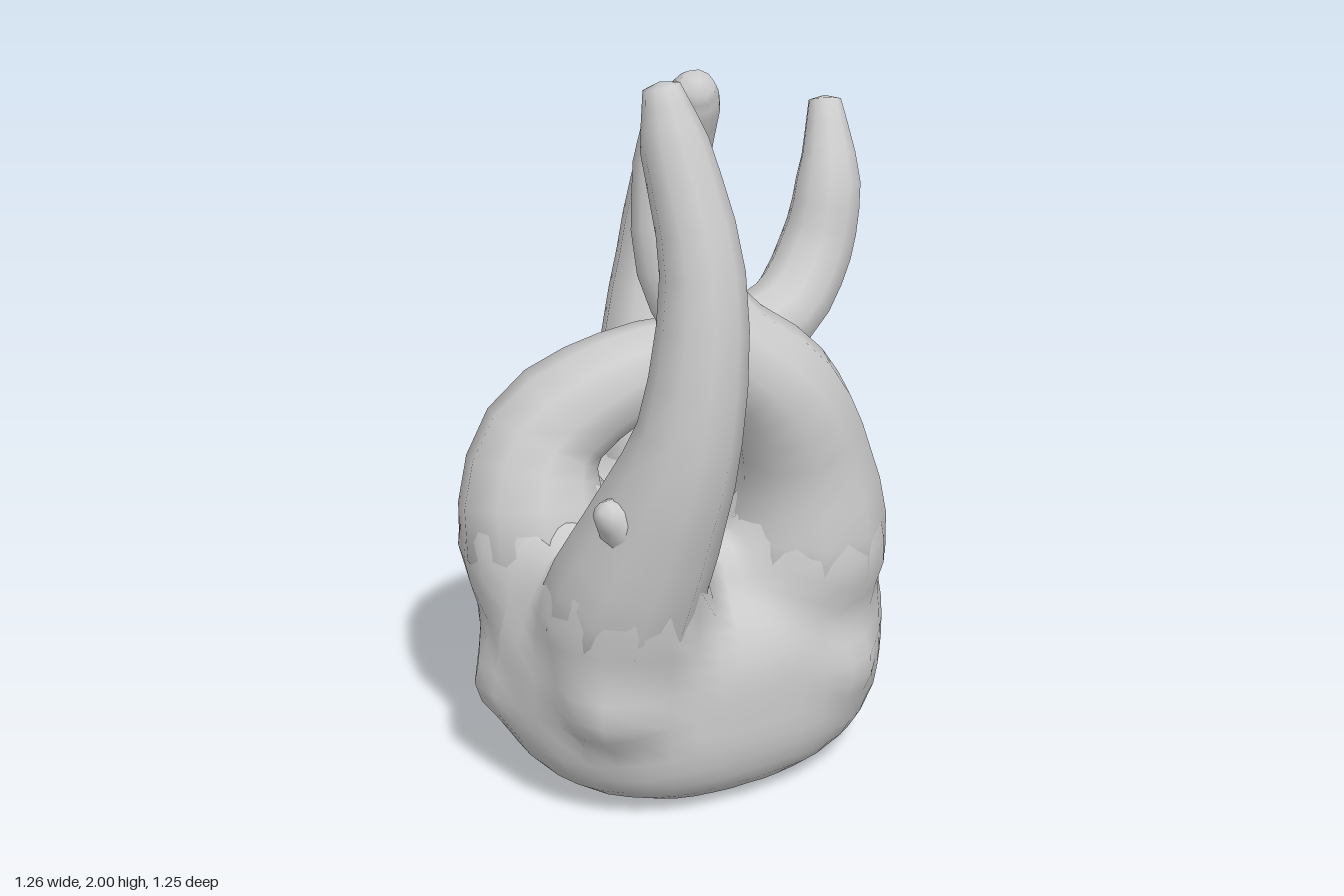
import * as THREE from 'three';

const SIDES = 10;
const material = new THREE.MeshStandardMaterial({ color: 0xcccccc });

// Limb stations: x, y, z, radius
const LIMBS = {
  tallLimb: [
    [-0.25, 0.35, 0.15, 0.12], [-0.35, 0.6, 0.29, 0.21], [-0.32, 0.85, 0.4, 0.175],
    [-0.27, 1.15, 0.5, 0.13], [-0.23, 1.55, 0.49, 0.103], [-0.255, 1.85, 0.4, 0.083],
    [-0.27, 1.985, 0.365, 0.045]],
  frontLimb: [
    [0.12, 0.35, 0.14, 0.12], [0.21, 0.65, 0.25, 0.23], [0.19, 0.9, 0.28, 0.18],
    [0.1, 1.12, 0.31, 0.15], [-0.04, 1.27, 0.27, 0.125], [-0.12, 1.45, 0.16, 0.1],
    [-0.1, 1.7, 0.08, 0.083], [-0.12, 1.83, 0.09, 0.04]],
  backLimb: [
    [0.1, 0.4, -0.05, 0.12], [0.14, 0.68, -0.3, 0.25], [0.18, 0.95, -0.42, 0.195],
    [0.21, 1.2, -0.49, 0.133], [0.24, 1.5, -0.47, 0.1], [0.24, 1.67, -0.38, 0.08],
    [0.23, 1.73, -0.33, 0.045]],
  crossingLimb: [
    [-0.25, 0.4, 0.0, 0.12], [-0.4, 0.66, -0.09, 0.21], [-0.35, 0.9, -0.14, 0.165],
    [-0.14, 1.05, -0.09, 0.13], [0.1, 1.09, -0.06, 0.105], [0.36, 1.12, -0.11, 0.108],
    [0.5, 1.27, -0.16, 0.103], [0.55, 1.45, -0.18, 0.09], [0.585, 1.65, -0.26, 0.045]],
};

// Lumps melted into the bulb: x, y, z, radius
const LUMPS = [
  [-0.53, 0.3, 0.0, 0.09], [0.24, 0.33, 0.38, 0.1], [-0.42, 0.38, 0.36, 0.12],
  [-0.44, 0.62, -0.29, 0.09], [-0.16, 0.55, -0.3, 0.13], [0.04, 0.67, -0.49, 0.09],
  [0.28, 0.36, -0.25, 0.12], [0.4, 0.5, 0.05, 0.13], [-0.08, 0.63, 0.25, 0.11],
  [0.2, 0.75, -0.2, 0.13],
];

// Points along a limb with their direction and radius.
function sampleLimb(stations) {
  const curve = new THREE.CatmullRomCurve3(stations.map(s => new THREE.Vector3(s[0], s[1], s[2])));
  const spans = stations.length - 1, steps = spans * 3;
  return Array.from({ length: steps + 1 }, (_, i) => {
    const t = i / steps, f = t * spans, s = Math.min(Math.floor(f), spans - 1);
    const r = THREE.MathUtils.lerp(stations[s][3], stations[s + 1][3], f - s);
    return { c: curve.getPoint(t), tan: curve.getTangent(t), r };
  });
}

// Tube of varying radius, closed at both ends.
function limb(name, samples) {
  const pos = [], idx = [], u = new THREE.Vector3(1, 0, 0), v = new THREE.Vector3();
  samples.forEach(({ c, tan, r }) => {
    // carry the ring's axes along the path without twisting
    u.addScaledVector(tan, -u.dot(tan)).normalize();
    v.crossVectors(tan, u);
    for (let j = 0; j < SIDES; j++) {
      const a = j / SIDES * Math.PI * 2;
      const p = c.clone().addScaledVector(u, r * Math.cos(a)).addScaledVector(v, r * Math.sin(a));
      pos.push(p.x, p.y, p.z);
    }
  });
  const end = samples[samples.length - 1];
  const tip = end.c.clone().addScaledVector(end.tan, 0.012);
  pos.push(...samples[0].c.toArray(), ...tip.toArray());
  const a = samples.length * SIDES, last = a - SIDES;
  for (let j = 0; j < SIDES; j++) {
    const k = (j + 1) % SIDES;
    for (let p = 0; p < last; p += SIDES) {
      idx.push(p + j, p + k, p + k + SIDES, p + j, p + k + SIDES, p + j + SIDES);
    }
    idx.push(a, k, j, a + 1, last + j, last + k);
  }
  const geo = new THREE.BufferGeometry();
  geo.setAttribute('position', new THREE.Float32BufferAttribute(pos, 3));
  geo.setIndex(idx);
  geo.computeVertexNormals();
  const mesh = new THREE.Mesh(geo, material);
  mesh.name = name;
  return mesh;
}

function smoothMin(a, b, k) {
  const h = Math.max(k - Math.abs(a - b), 0) / k;
  return Math.min(a, b) - h * h * k / 4;
}

// Bulb: a sphere whose vertices move outward until they leave the blend of
// a boxy ellipsoid, the lumps and the limb roots, so the roots flow into it.
function bulb(limbs) {
  const centre = new THREE.Vector3(-0.04, 0.36, 0.06);
  const field = p => {
    const x = Math.abs(p.x - centre.x) / 0.55, z = Math.abs(p.z - centre.z) / 0.43;
    const dy = p.y - centre.y + 0.12 * (p.z - 0.12); // underside rises to the back
    const y = Math.abs(dy) / (dy > 0 ? 0.31 : 0.36);
    const plan = Math.pow(x ** 2.3 + z ** 2.3, 1 / 2.3);
    let d = (Math.cbrt(plan ** 3 + y ** 3) - 1) * 0.4;
    for (const [lx, ly, lz, r] of LUMPS) {
      d = smoothMin(d, Math.hypot(p.x - lx, p.y - ly, p.z - lz) - r, 0.06);
    }
    for (const samples of limbs) {
      d = smoothMin(d, Math.min(...samples.map(s => p.distanceTo(s.c) - s.r)), 0.08);
    }
    return d + Math.max(0, p.y - 0.6) * 0.1; // sink under the limbs higher up
  };
  const geo = new THREE.SphereGeometry(1, 44, 30);
  const pos = geo.attributes.position, dir = new THREE.Vector3(), p = new THREE.Vector3();
  for (let i = 0; i < pos.count; i++) {
    dir.fromBufferAttribute(pos, i);
    let r = 0.2;
    do {
      r += 0.003;
      p.copy(centre).addScaledVector(dir, r);
    } while (field(p) < 0 && p.y < 0.95);
    pos.setXYZ(i, p.x, Math.max(p.y, 0), p.z);
  }
  geo.computeVertexNormals();
  const mesh = new THREE.Mesh(geo, material);
  mesh.name = 'bulb';
  return mesh;
}

export function createModel() {
  const g = new THREE.Group();
  g.name = 'rootedBulb';
  const sampled = Object.entries(LIMBS).map(([name, stations]) => [name, sampleLimb(stations)]);
  g.add(bulb(sampled.map(([, samples]) => samples)));
  sampled.forEach(([name, samples]) => g.add(limb(name, samples)));

  // Small stub on the side of the tall limb
  g.add(limb('stub', sampleLimb([
    [-0.34, 0.86, 0.42, 0.1], [-0.42, 0.92, 0.44, 0.08], [-0.49, 0.97, 0.46, 0.03]])));
  return g;
}
